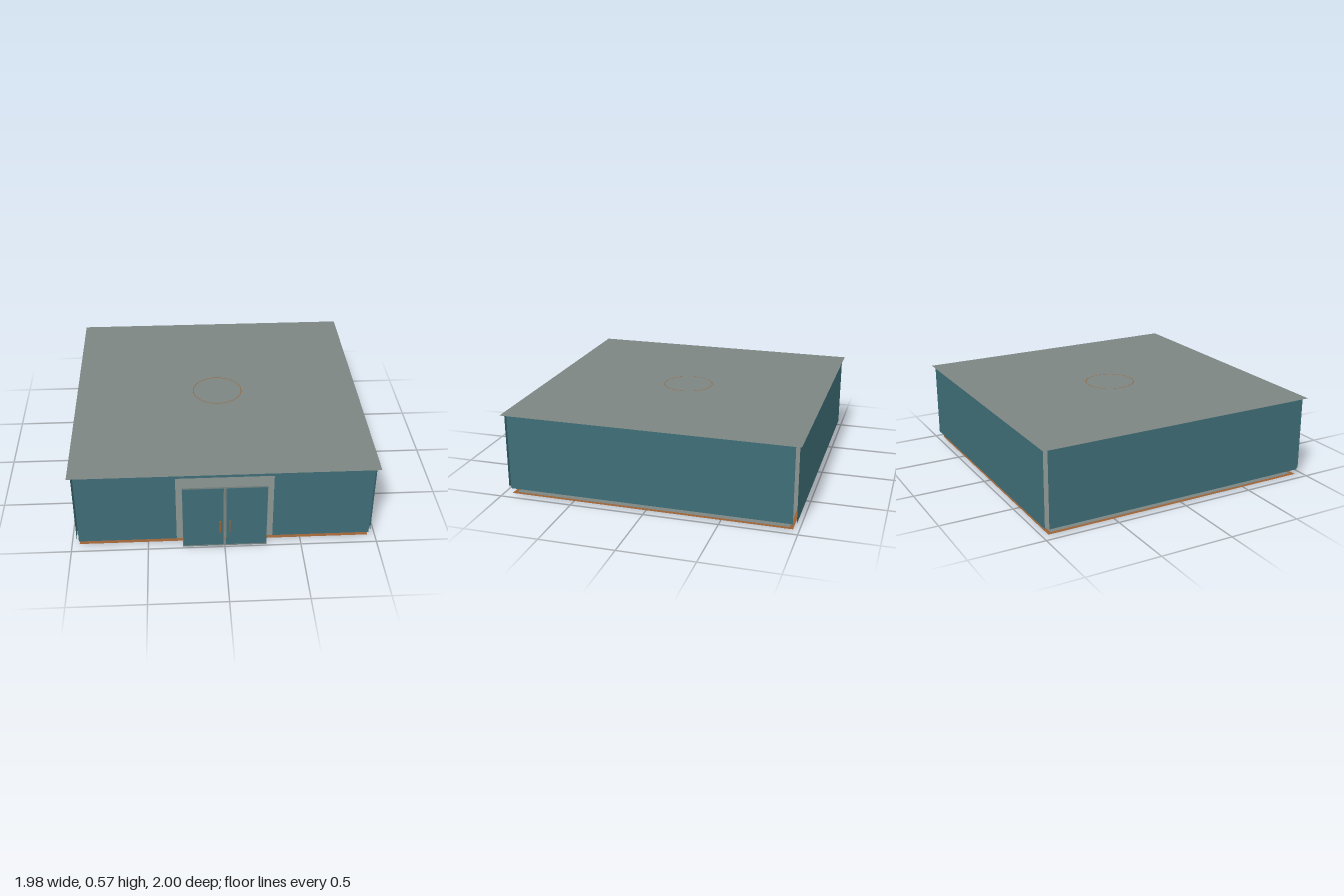
import * as THREE from 'three';

const mat = (name, color, side = THREE.FrontSide) => {
  const m = new THREE.MeshStandardMaterial({ color, side });
  m.name = name;
  return m;
};

export function createModel() {
  const teal = mat('teal paint', 0x3f6e78, THREE.DoubleSide);
  const grey = mat('warm grey', 0x7c8582, THREE.DoubleSide);
  const brown = mat('brown wood', 0x9a6236, THREE.DoubleSide);
  const dark = mat('charcoal', 0x23292e);

  const model = new THREE.Group();
  const CZ = -0.0125; // room centre along z

  const add = (name, geo, material, x = 0, y = 0, z = 0, parent = model) => {
    const mesh = new THREE.Mesh(geo, material);
    mesh.name = name;
    mesh.position.set(x, y, z);
    parent.add(mesh);
    return mesh;
  };
  const box = (name, w, h, d, material, x, y, z, parent) =>
    add(name, new THREE.BoxGeometry(w, h, d), material, x, y, z, parent);
  const sheet = (name, w, d, material, y) => {
    const geo = new THREE.PlaneGeometry(w, d).rotateX(-Math.PI / 2);
    return add(name, geo, material, 0, y, CZ);
  };

  // Roof and floor sheets
  sheet('roof', 1.975, 1.975, grey, 0.57);
  sheet('floor', 1.86, 1.86, grey, 0.007);

  // Wooden border round the floor
  const border = new THREE.Shape([[-0.95, -0.95], [0.95, -0.95], [0.95, 0.95], [-0.95, 0.95]]
    .map(([x, y]) => new THREE.Vector2(x, y)));
  border.holes.push(new THREE.Path([[-0.925, -0.925], [-0.925, 0.925], [0.925, 0.925], [0.925, -0.925]]
    .map(([x, y]) => new THREE.Vector2(x, y))));
  add('floorBorder', new THREE.ShapeGeometry(border).rotateX(-Math.PI / 2), brown, 0, 0.008, CZ);

  // Front wall with a doorway open to the bottom
  const front = new THREE.Shape([
    [-0.95, 0.05], [-0.313, 0.05], [-0.313, 0.54], [0.313, 0.54],
    [0.313, 0.05], [0.95, 0.05], [0.95, 0.568], [-0.95, 0.568],
  ].map(([x, y]) => new THREE.Vector2(x, y)));
  add('frontWall', new THREE.ShapeGeometry(front), teal, 0, 0, 0.96);

  // Back and side walls
  const wall = new THREE.PlaneGeometry(1.9, 0.518);
  add('backWall', wall, teal, 0, 0.309, -0.985).rotation.y = Math.PI;
  for (const s of [-1, 1]) {
    add('sideWall', wall, teal, s * 0.966, 0.309, CZ).rotation.y = s * Math.PI / 2;
  }

  // Double doors standing just in front of the doorway
  for (const s of [-1, 1]) {
    const door = new THREE.Group();
    door.name = s > 0 ? 'leftDoor' : 'rightDoor';
    model.add(door);
    box('doorFrame', 0.272, 0.484, 0.009, grey, s * 0.137, 0.242, 0.983, door);
    box('doorPanel', 0.262, 0.462, 0.004, teal, s * 0.14, 0.243, 0.988, door);
    box('doorHandle', 0.009, 0.09, 0.01, brown, s * 0.032, 0.167, 0.995, door);
  }

  // Ceiling light
  add('ceilingRing', new THREE.TorusGeometry(0.17, 0.004, 6, 48).rotateX(Math.PI / 2),
    brown, 0, 0.5672, CZ);
  add('lightDrum', new THREE.CylinderGeometry(0.155, 0.155, 0.07, 32), dark, 0, 0.527, CZ);

  // Central desk
  box('deskBase', 0.9, 0.012, 0.44, grey, 0, 0.014, 0.04);
  box('deskBody', 0.86, 0.125, 0.4, grey, 0, 0.0825, 0.04);
  box('deskTop', 0.9, 0.015, 0.44, brown, 0, 0.1525, 0.04);

  for (const s of [-1, 1]) {
    // Items on the desk
    box('deskScreen', 0.12, 0.05, 0.02, dark, s * 0.34, 0.186, 0.04);

    // Low wooden bench on a dark plinth
    const bench = new THREE.Group();
    bench.name = 'bench';
    model.add(bench);
    box('benchPlinth', 0.36, 0.012, 0.36, dark, s * 0.62, 0.014, 0.485, bench);
    box('benchBody', 0.35, 0.045, 0.34, brown, s * 0.62, 0.042, 0.485, bench);
    box('benchCushion', 0.35, 0.05, 0.34, grey, s * 0.62, 0.09, 0.485, bench);

    // Small side table
    box('sideTableBase', 0.12, 0.012, 0.08, dark, s * 0.5, 0.014, 0.74);
    box('sideTableBody', 0.1, 0.08, 0.06, brown, s * 0.5, 0.06, 0.74);

    // Cabinet
    box('cabinetPlinth', 0.17, 0.014, 0.27, dark, s * 0.77, 0.015, -0.3);
    box('cabinetBody', 0.17, 0.12, 0.25, grey, s * 0.77, 0.086, -0.3);

    // Pedestal
    box('pedestalFoot', 0.15, 0.01, 0.15, dark, s * 0.72, 0.013, -0.645);
    box('pedestalColumn', 0.11, 0.2, 0.11, dark, s * 0.72, 0.118, -0.645);

    // Tapered corner planters
    for (const z of [0.785, -0.84]) {
      add('planter', new THREE.CylinderGeometry(0.048, 0.033, 0.1, 20), grey, s * 0.82, 0.06, z);
      add('planterFoot', new THREE.CylinderGeometry(0.037, 0.037, 0.008, 20), dark, s * 0.82, 0.012, z);
    }
  }

  return model;
}
